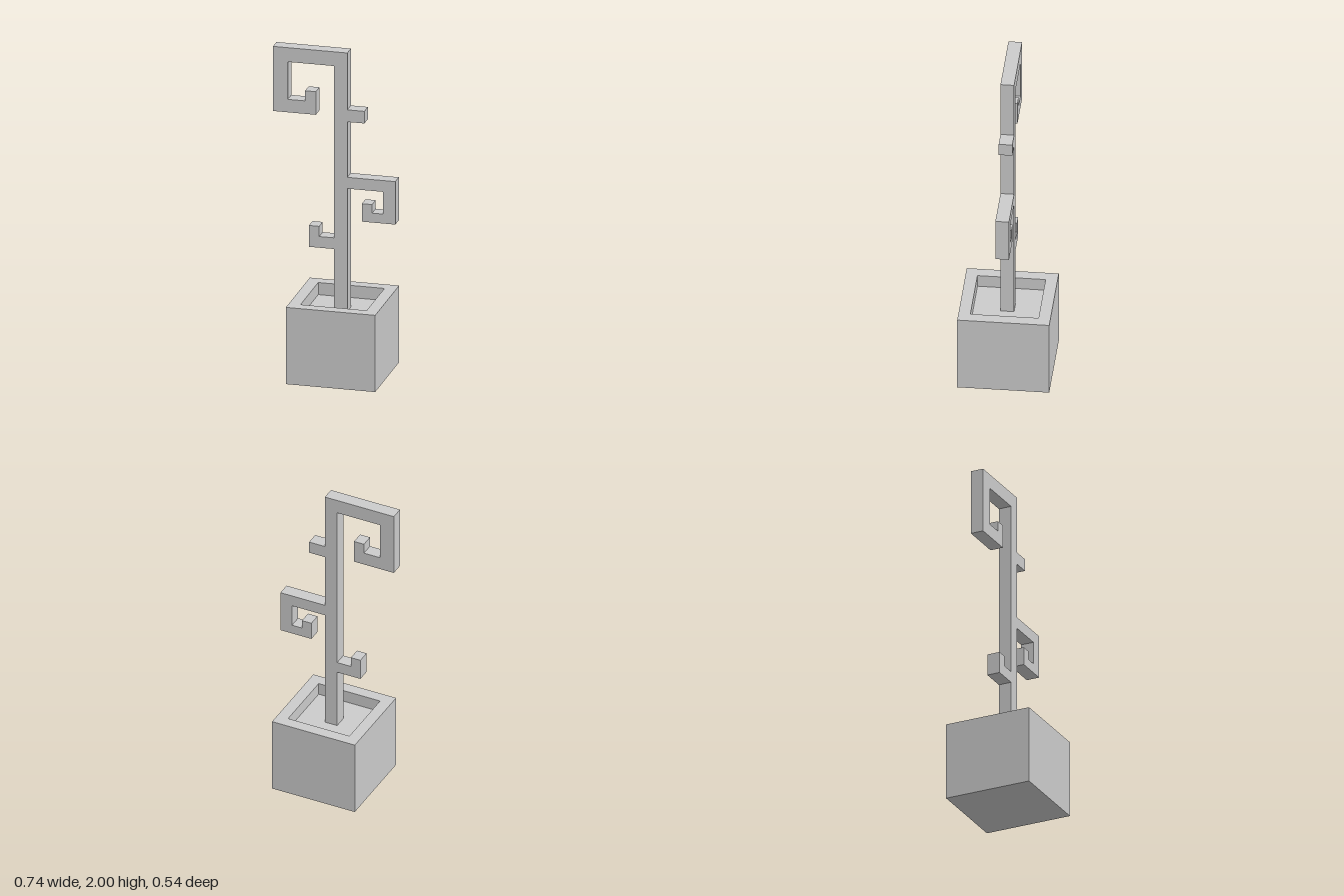
import * as THREE from 'three';

const material = new THREE.MeshStandardMaterial({ color: 0xcccccc, flatShading: true });

// Square planter: a four-sided turned profile with a recessed soil floor
function createPlanter() {
  const outer = 0.27, inner = 0.2, height = 0.475, soil = 0.4;
  const profile = [[0, 0], [outer, 0], [outer, height], [inner, height], [inner, soil], [0, soil]]
    .map(([half, y]) => new THREE.Vector2(half * Math.SQRT2, y));
  const geometry = new THREE.LatheGeometry(profile, 4, Math.PI / 4).toNonIndexed();
  geometry.computeVertexNormals();
  const planter = new THREE.Mesh(geometry, material);
  planter.name = 'planter';
  planter.position.x = 0.04;
  return planter;
}

// Stem with its square curls, one outline extruded to a slab
function createPlant() {
  const left = 0, right = 0.08, thickness = 0.08;
  const outline = [
    [left, 0.4], [right, 0.4],
    // middle curl on the left side
    [right, 1.16], [0.295, 1.16], [0.295, 1.022], [0.23, 1.022], [0.23, 1.075],
    [0.168, 1.075], [0.168, 0.964], [0.37, 0.964], [0.37, 1.23], [right, 1.23],
    // short stub
    [right, 1.573], [0.183, 1.573], [0.183, 1.648], [right, 1.648],
    // large curl at the top
    [right, 2], [-0.37, 2], [-0.37, 1.6], [-0.11, 1.6], [-0.11, 1.743],
    [-0.175, 1.743], [-0.175, 1.68], [-0.28, 1.68], [-0.28, 1.912], [left, 1.912],
    // small hook low on the right side
    [left, 0.848], [-0.09, 0.848], [-0.09, 0.911], [-0.152, 0.911], [-0.152, 0.779], [left, 0.779],
  ].map(([x, y]) => new THREE.Vector2(x, y));
  const geometry = new THREE.ExtrudeGeometry(new THREE.Shape(outline), { depth: thickness, bevelEnabled: false });
  geometry.translate(0, 0, -thickness / 2);
  const plant = new THREE.Mesh(geometry, material);
  plant.name = 'curledStem';
  return plant;
}

export function createModel() {
  const model = new THREE.Group();
  model.name = 'pottedPlant';
  model.add(createPlanter(), createPlant());
  return model;
}
